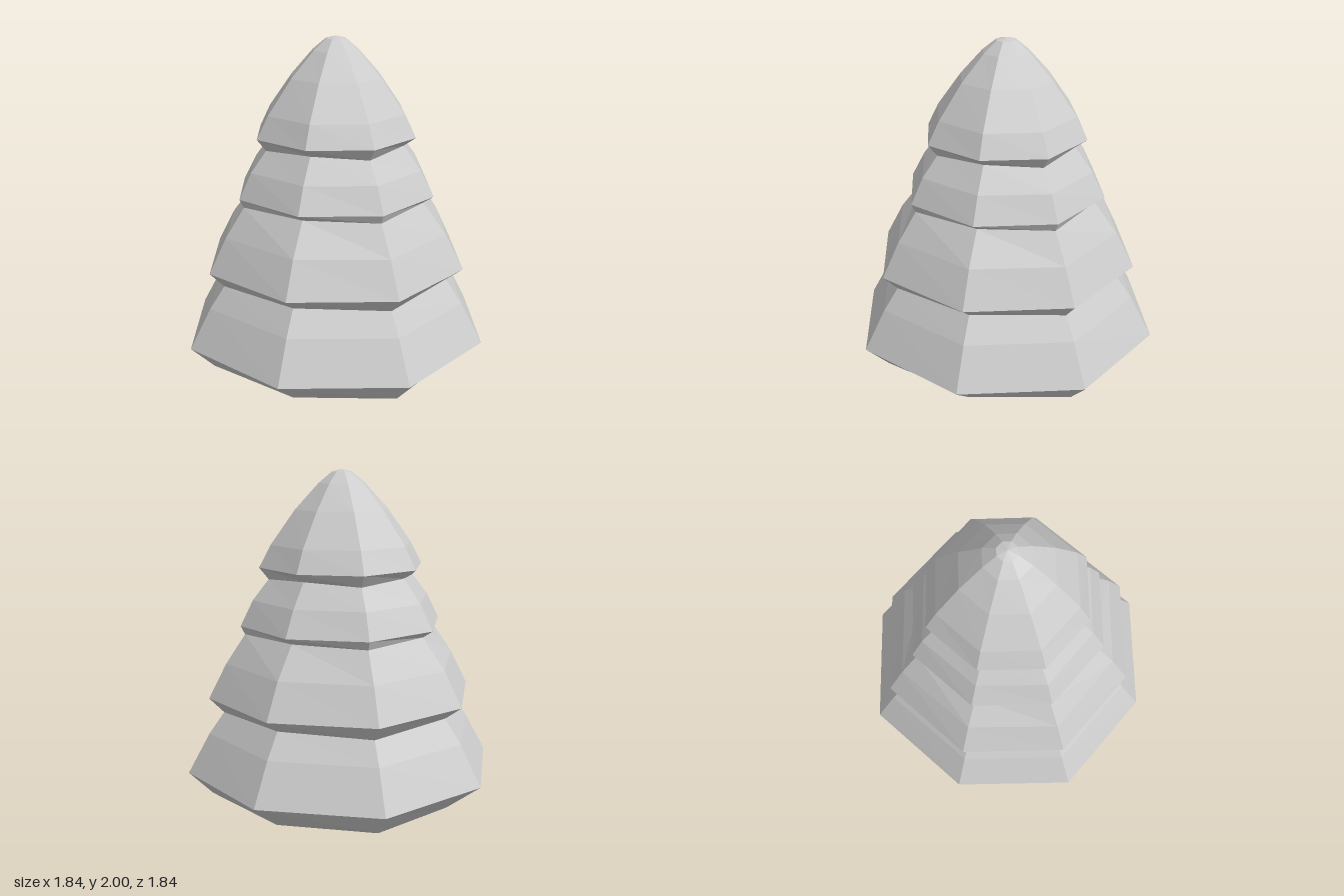
import * as THREE from 'three';

// Rings from base to tip: [height, radius] of the four on-axis corners,
// then [height, radius] of the four diagonal corners.
const RINGS = [
  [0.00, 0.00, 0.00, 0.00],  // underside centre
  [0.06, 0.71, 0.085, 0.80], // underside rim
  [0.225, 0.92, 0.225, 0.94], // lowest tier
  [0.46, 0.79, 0.46, 0.81],
  [0.60, 0.69, 0.585, 0.72],
  [0.675, 0.79, 0.675, 0.806], // second tier
  [0.88, 0.68, 0.88, 0.70],
  [1.06, 0.54, 1.05, 0.585],
  [1.10, 0.60, 1.10, 0.61],  // third tier
  [1.25, 0.52, 1.25, 0.535],
  [1.39, 0.415, 1.37, 0.44],
  [1.44, 0.485, 1.44, 0.495], // top tier
  [1.57, 0.42, 1.57, 0.425],
  [1.77, 0.275, 1.77, 0.28],
  [1.92, 0.14, 1.92, 0.14],
  [1.985, 0.06, 1.985, 0.06],
  [2.00, 0.00, 2.00, 0.00],  // tip
];

export function createModel() {
  const group = new THREE.Group();
  group.name = 'coniferTree';

  const profile = RINGS.map(([y, r]) => new THREE.Vector2(r, y));
  const lathe = new THREE.LatheGeometry(profile, 8);

  // Push the diagonal corners to their own height and radius
  const pos = lathe.attributes.position;
  for (let i = 1; i < 8; i += 2) {
    const angle = (i * Math.PI) / 4;
    RINGS.forEach(([, , y, r], j) => {
      pos.setXYZ(i * RINGS.length + j, Math.sin(angle) * r, y, Math.cos(angle) * r);
    });
  }

  const geometry = lathe.toNonIndexed();
  geometry.computeVertexNormals();
  const foliage = new THREE.Mesh(
    geometry,
    new THREE.MeshStandardMaterial({ color: 0xcccccc, flatShading: true })
  );
  foliage.name = 'tieredFoliage';
  group.add(foliage);
  return group;
}
